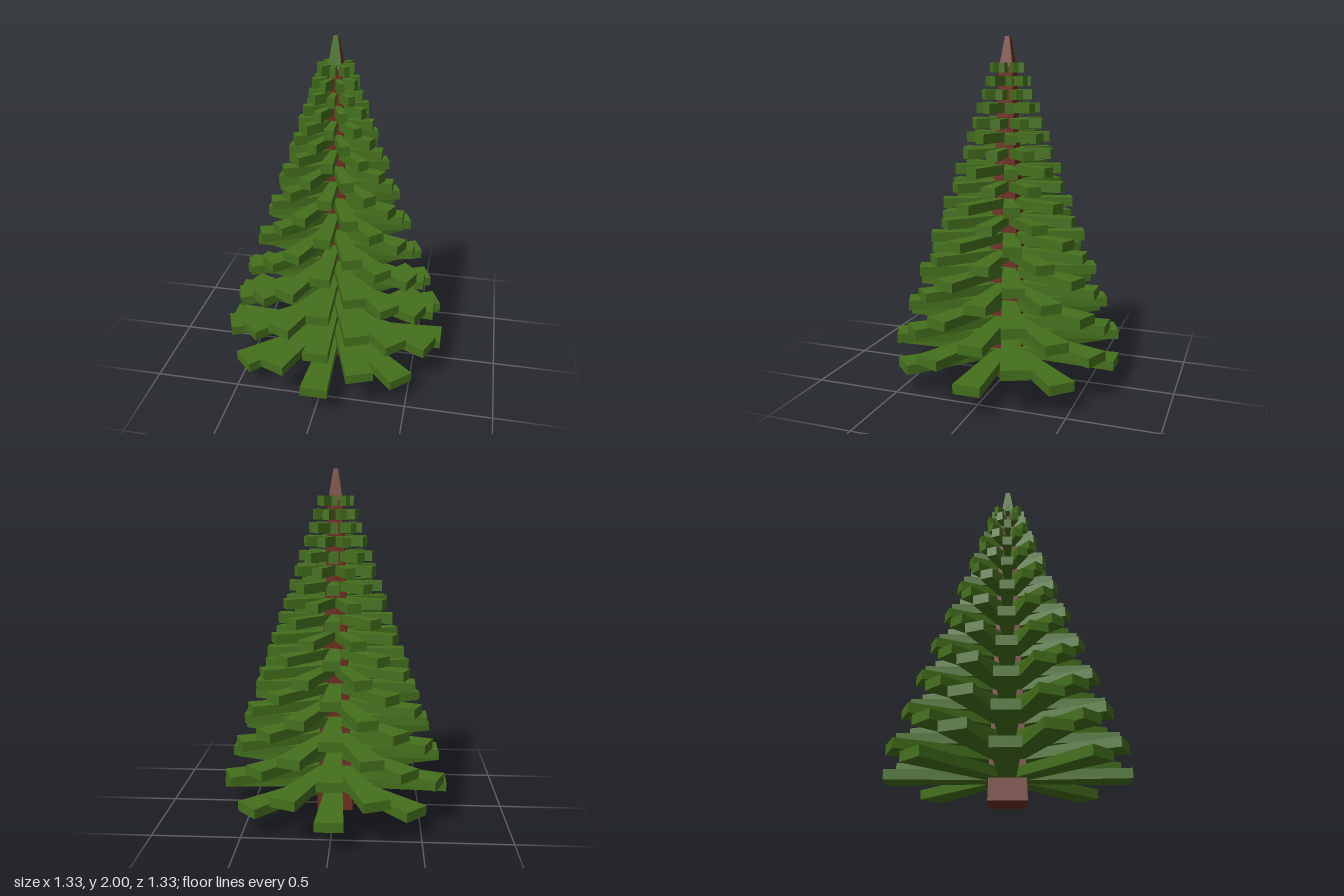
import * as THREE from 'three';

const green = new THREE.MeshStandardMaterial({ color: 0x44701c, flatShading: true });
const brown = new THREE.MeshStandardMaterial({ color: 0x6e2c1f, flatShading: true });

// Square column from y0 to y1, narrowing from half-width r0 to r1
function taperedColumn(r0, r1, y0, y1) {
  const geo = new THREE.BoxGeometry(2, y1 - y0, 2);
  geo.translate(0, (y0 + y1) / 2, 0);
  const p = geo.attributes.position;
  const mid = (y0 + y1) / 2;
  for (let i = 0; i < p.count; i++) {
    const r = p.getY(i) > mid ? r1 : r0;
    p.setX(i, p.getX(i) * r);
    p.setZ(i, p.getZ(i) * r);
  }
  geo.computeVertexNormals();
  return geo;
}

// Flat plank pointing along +z, widening towards its tip
function branchGeometry(length, thickness) {
  const tip = 0.11 * length + 0.005;
  const root = tip * 0.5;
  const shape = new THREE.Shape([
    new THREE.Vector2(-root, 0),
    new THREE.Vector2(root, 0),
    new THREE.Vector2(tip, length),
    new THREE.Vector2(-tip, length),
  ]);
  const geo = new THREE.ExtrudeGeometry(shape, { depth: thickness, bevelEnabled: false });
  geo.translate(0, 0, -thickness / 2);
  geo.rotateX(Math.PI / 2);
  return geo;
}

export function createModel() {
  const tree = new THREE.Group();
  tree.name = 'firTree';

  // Trunk
  const trunk = new THREE.Mesh(taperedColumn(0.106, 0.04, 0, 1.83), brown);
  trunk.name = 'trunk';
  tree.add(trunk);

  // Treetop, green on the front, right and top faces (order: +x -x +y -y +z -z)
  const top = new THREE.Mesh(taperedColumn(0.04, 0.013, 1.83, 2),
    [brown, green, green, brown, green, brown]);
  top.name = 'treetop';
  tree.add(top);

  // Branch tiers: [height, branch length]
  const tiers = [
    [0.15, 0.664], [0.25, 0.66], [0.35, 0.608], [0.45, 0.588], [0.55, 0.54],
    [0.65, 0.52], [0.75, 0.468], [0.855, 0.448], [0.955, 0.398], [1.055, 0.375],
    [1.155, 0.33], [1.25, 0.305], [1.345, 0.266], [1.435, 0.238], [1.515, 0.209],
    [1.6, 0.181], [1.675, 0.15], [1.75, 0.129], [1.825, 0.102],
  ];
  tiers.forEach(([y, length], t) => {
    const tier = new THREE.Group();
    tier.name = `branchTier${t + 1}`;
    tier.position.y = y;
    // Every second tier is turned by half a step
    tier.rotation.y = (t % 2) * Math.PI / 8;
    const geo = branchGeometry(length, 0.056);
    for (let i = 0; i < 8; i++) {
      const branch = new THREE.Mesh(geo, green);
      branch.name = 'branch';
      branch.rotation.y = i * Math.PI / 4;
      tier.add(branch);
    }
    tree.add(tier);
  });

  return tree;
}
